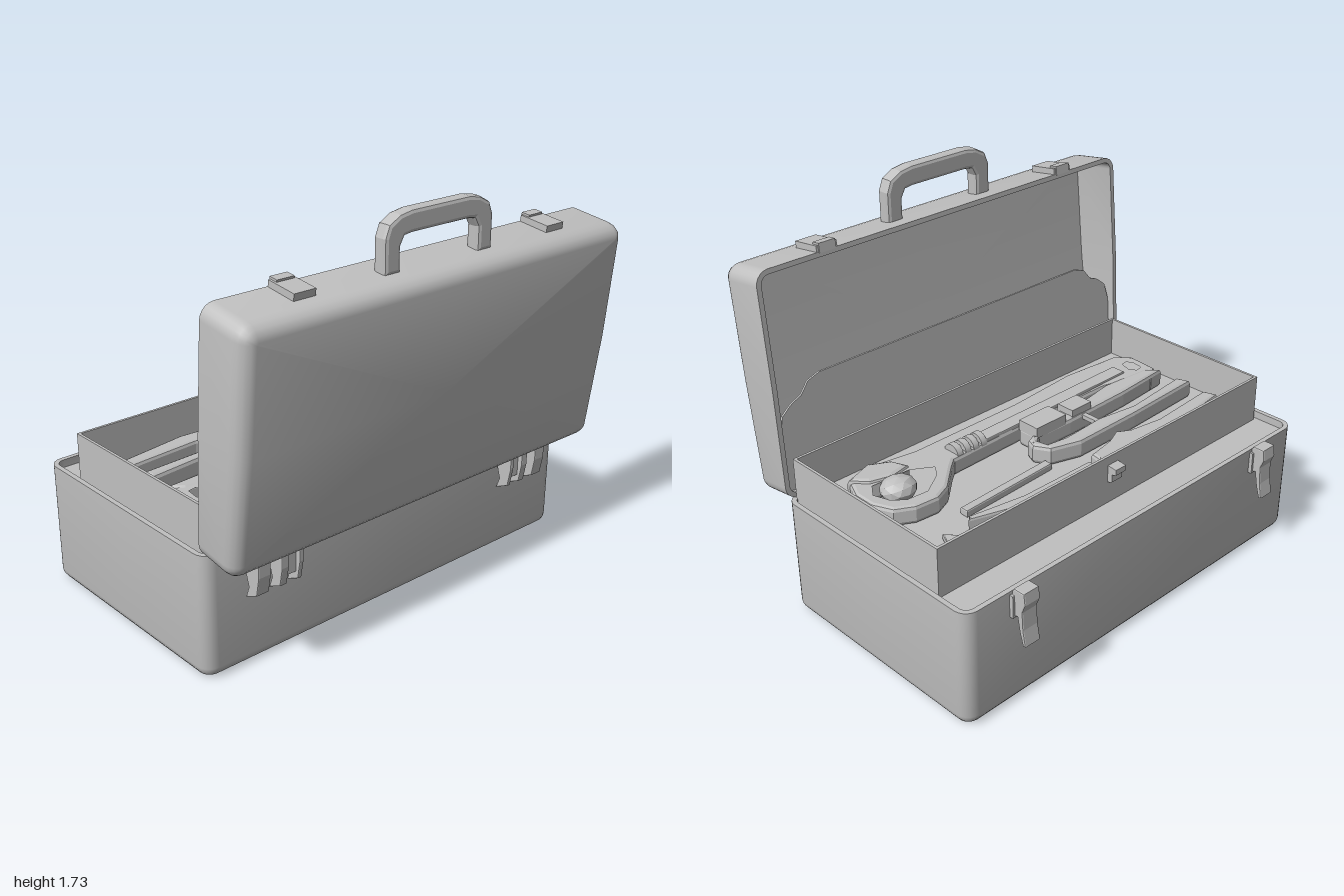
import * as THREE from 'three';
import { toCreasedNormals } from 'three/addons/utils/BufferGeometryUtils.js';

const metal = new THREE.MeshStandardMaterial({ color: 0xc0c0c0 });
metal.name = 'grey metal';
const lerp = THREE.MathUtils.lerp;
const trayTop = 0.535; // upper face of the tray floor

// Rounded rectangle loop with side midpoints, half sizes a and b, corner radius r
function loop(a, b, r) {
  const pts = [];
  const n = 5;
  [[1, 1], [-1, 1], [-1, -1], [1, -1]].forEach(([sa, sb], q) => {
    for (let i = 0; i <= n; i++) {
      const t = (q + i / n) * Math.PI / 2;
      pts.push([sa * (a - r) + r * Math.cos(t), sb * (b - r) + r * Math.sin(t)]);
    }
    const m = (q + 1) * Math.PI / 2;
    pts.push([a * Math.cos(m), b * Math.sin(m)]);
  });
  return pts;
}

// Open shell with rounded edges: outer skin, rim, inner skin, both floors
function shell(a, b, depth, corner, edge, wall, innerDepth, place) {
  const rings = [];
  for (let i = 0; i <= 4; i++) {
    const t = i / 4 * Math.PI / 2;
    rings.push([edge * (1 - Math.sin(t)), depth - edge * (1 - Math.cos(t))]);
  }
  rings.push([0, 0], [wall, 0], [wall, innerDepth]);
  const at = rings.map(([inset, d]) =>
    loop(a - inset, b - inset, Math.max(corner - inset, 0.008)).map(([p, q]) => place(p, q, d)));
  const pos = [];
  const n = at[0].length;
  const last = at.length - 1;
  for (let i = 0; i < n; i++) {
    const j = (i + 1) % n;
    for (let k = 0; k < last; k++) {
      pos.push(...at[k][i], ...at[k + 1][i], ...at[k][j]);
      pos.push(...at[k][j], ...at[k + 1][i], ...at[k + 1][j]);
    }
    pos.push(...place(0, 0, depth), ...at[0][i], ...at[0][j]);
    pos.push(...place(0, 0, innerDepth), ...at[last][j], ...at[last][i]);
  }
  const g = new THREE.BufferGeometry();
  g.setAttribute('position', new THREE.Float32BufferAttribute(pos, 3));
  return toCreasedNormals(g, 0.7);
}

const shapeOf = (pts) => new THREE.Shape(pts.map(([x, y]) => new THREE.Vector2(x, y)));

function extrude(shape, depth, bevel) {
  return new THREE.ExtrudeGeometry(shape, {
    depth: depth - 2 * bevel, bevelEnabled: bevel > 0, bevelThickness: bevel,
    bevelSize: bevel, bevelOffset: -bevel, bevelSegments: 2,
  }).translate(0, 0, bevel);
}

export function createModel() {
  const model = new THREE.Group();
  model.name = 'toolbox';
  const add = (name, geometry, x = 0, y = 0, z = 0) => {
    const m = new THREE.Mesh(geometry, metal);
    m.name = name;
    m.position.set(x, y, z);
    model.add(m);
    return m;
  };
  const box = (name, w, h, d, x, y, z) => add(name, new THREE.BoxGeometry(w, h, d), x, y, z);

  // Lower case, with a shallow shelf under the tray
  add('lowerCase', shell(0.548, 0.995, 0.534, 0.06, 0.045, 0.022, 0.035,
    (p, q, d) => [-0.106 + p * (1 - 0.015 * d), 0.535 - d, q]));

  // Open lid, leaning outward, slightly bulged on both faces
  add('lid', shell(0.5, 1, 0.2, 0.06, 0.055, 0.022, 0.175, (p, q, d) => {
    const u = p + 0.5;
    const f = d / 0.2;
    const bow = Math.sin(Math.PI * u);
    return [
      lerp(lerp(0.424, 0.487, u) - 0.008 * bow, lerp(0.618, 0.73, u) + 0.012 * bow, f),
      lerp(lerp(0.535, 1.525, u), lerp(0.505, 1.49, u), f), q];
  }));

  // Thin pocket sheet across the lid opening, with rounded upper corners
  const right = [[0.972, 0], [0.972, 0.26], [0.95, 0.34], [0.9, 0.38], [0.85, 0.4], [0.81, 0.45], [0.75, 0.47]];
  const pocket = shapeOf([...right, ...right.map(([z, y]) => [-z, y]).reverse()]);
  add('lidPocket', extrude(pocket, 0.01, 0).rotateY(Math.PI / 2), 0.45, 0.55).rotation.z = -0.07;

  // Tray: floor and four thin walls
  box('trayFloor', 0.88, 0.03, 1.9, -0.023, trayTop - 0.015, 0);
  box('trayFrontWall', 0.012, 0.22, 1.9, -0.459, 0.61, 0);
  box('trayBackWall', 0.012, 0.22, 1.9, 0.414, 0.61, 0);
  for (const s of [-1, 1]) box('trayEndWall', 0.885, 0.22, 0.012, -0.0225, 0.61, s * 0.95);

  // Tray clasp
  const clasp = shapeOf([[0, 0.08], [-0.045, 0.075], [-0.045, 0.05], [-0.025, 0.045], [-0.025, 0.01], [0, 0]]);
  add('trayClasp', extrude(clasp, 0.06, 0), -0.464, 0.6, -0.04);

  const lever = shapeOf([[-0.655, 0.42], [-0.655, 0.535], [-0.665, 0.55], [-0.718, 0.55], [-0.724, 0.5],
    [-0.708, 0.46], [-0.712, 0.38], [-0.725, 0.31], [-0.712, 0.305], [-0.695, 0.36], [-0.682, 0.43]]);
  const hinge = shapeOf([[0.435, 0.53], [0.53, 0.53], [0.53, 0.42], [0.515, 0.34], [0.45, 0.31],
    [0.468, 0.36], [0.45, 0.42], [0.435, 0.44]]);
  for (const s of [-1, 1]) {
    // Front latch levers
    add('latchLever', extrude(lever, 0.08, 0.006), 0, 0, s * 0.725 - 0.04);
    box('latchPlate', 0.02, 0.1, 0.1, -0.66, 0.47, s * 0.725);
    // Rear hinge fingers
    for (const [z, w] of [[0.78, 0.06], [0.68, 0.035], [0.6, 0.02]]) {
      add('hingeFinger', extrude(hinge, w, 0.004), 0, 0, s * z - w / 2);
    }
    box('hingePlate', 0.03, 0.06, 0.22, 0.45, 0.49, s * 0.7);
    box('hingeWeb', 0.025, 0.12, 0.09, 0.495, 0.43, s * 0.635);
    // Catches on the upper edge of the lid
    box('lidCatch', 0.14, 0.03, 0.1, 0.56, 1.527, s * 0.66).rotation.z = -0.13;
    box('lidCatchHook', 0.04, 0.04, 0.08, 0.505, 1.538, s * 0.66).rotation.z = -0.13;
  }

  // Carrying handle
  const arch = shapeOf([[-0.285, 0], [-0.285, 0.14], [-0.265, 0.19], [-0.21, 0.22], [-0.15, 0.23],
    [0.15, 0.23], [0.21, 0.22], [0.265, 0.19], [0.285, 0.14], [0.285, 0], [0.205, 0], [0.205, 0.1],
    [0.185, 0.135], [0.15, 0.14], [-0.15, 0.14], [-0.185, 0.135], [-0.205, 0.1], [-0.205, 0]]);
  add('handle', extrude(arch, 0.065, 0.016).rotateY(Math.PI / 2), 0.562, 1.5, -0.005);

  // Tools: outlines in x and z, laid flat in the tray
  const tool = (name, pts, height, holes = [], y = trayTop) => {
    const flip = (list) => list.map(([x, z]) => [x, -z]);
    const shape = shapeOf(flip(pts));
    shape.holes = holes.map((h) => shapeOf(flip(h)));
    return add(name, extrude(shape, height, height * 0.2).rotateX(-Math.PI / 2), 0, y, 0);
  };

  tool('fileTip', [[-0.31, -0.77], [-0.23, -0.73], [-0.29, -0.68]], 0.03);
  tool('file', [[-0.26, -0.62], [-0.36, -0.32], [-0.38, 0.03], [-0.29, 0.04], [-0.285, -0.34], [-0.24, -0.6]], 0.06);
  tool('cutter', [[-0.34, 0.05], [-0.28, 0.06], [-0.255, 0.2], [-0.22, 0.28], [-0.255, 0.34], [-0.28, 0.5],
    [-0.255, 0.84], [-0.32, 0.86], [-0.37, 0.52], [-0.355, 0.3]], 0.08);
  tool('rod', [[-0.185, -0.56], [-0.145, -0.56], [-0.125, -0.06], [-0.165, -0.06]], 0.035);

  // Pliers: hooked arm, second arm and joint blocks
  tool('pliersArm', [[-0.185, 0.1], [-0.14, -0.04], [-0.07, -0.08], [-0.02, -0.06], [0, -0.01], [-0.03, 0],
    [-0.06, -0.04], [-0.1, -0.02], [-0.115, 0.08], [-0.1, 0.3], [-0.13, 0.5], [-0.095, 0.84], [-0.16, 0.86],
    [-0.18, 0.45]], 0.09);
  tool('pliersHandle', [[-0.02, -0.01], [0.08, -0.01], [0.08, 0.2], [0.065, 0.4], [0.09, 0.55], [0.07, 0.8],
    [0.01, 0.85], [-0.015, 0.56], [-0.025, 0.2]], 0.09);
  box('pliersJoint', 0.11, 0.05, 0.18, 0.03, trayTop + 0.1, 0.08);
  box('pliersLock', 0.09, 0.04, 0.12, 0.03, trayTop + 0.1, 0.28);
  box('pliersPin', 0.12, 0.02, 0.025, -0.07, trayTop + 0.07, 0.29);

  // Large adjustable wrench with a rounded open head
  tool('wrench', [[0.05, -0.43], [-0.05, -0.54], [-0.085, -0.62], [-0.075, -0.73], [-0.03, -0.81],
    [0.06, -0.85], [0.16, -0.85], [0.25, -0.81], [0.3, -0.67], [0.26, -0.45], [0.26, 0.13], [0.29, 0.5],
    [0.265, 0.8], [0.2, 0.86], [0.05, 0.85], [0, 0.77], [0.05, 0.69], [0.095, 0.55], [0.1, 0.08], [0.09, -0.38]],
  0.085,
  [[[-0.04, -0.62], [-0.03, -0.73], [0.02, -0.79], [0.11, -0.82], [0.18, -0.77], [0.17, -0.57], [0.1, -0.46],
    [0.03, -0.51]],
  [[0.07, 0.76], [0.12, 0.73], [0.19, 0.75], [0.2, 0.8], [0.16, 0.83], [0.08, 0.82]]]);
  tool('wrenchRib', [[0.1, -0.2], [0.17, -0.2], [0.18, 0.7], [0.11, 0.7]], 0.02, [], trayTop + 0.075);
  tool('wrenchJaw', [[0.18, -0.76], [0.25, -0.82], [0.3, -0.68], [0.25, -0.59], [0.17, -0.56], [0.15, -0.66]], 0.1);
  const knob = new THREE.IcosahedronGeometry(0.075, 1).scale(1, 0.7, 1.1);
  add('wrenchNut', toCreasedNormals(knob, 0.3), 0.11, trayTop + 0.06, -0.67);
  for (let i = 0; i < 4; i++) {
    add('wrenchScrewRing', new THREE.CylinderGeometry(0.045, 0.045, 0.03, 12).rotateX(Math.PI / 2),
      0.14, trayTop + 0.075, -0.34 + i * 0.045);
  }
  return model;
}
